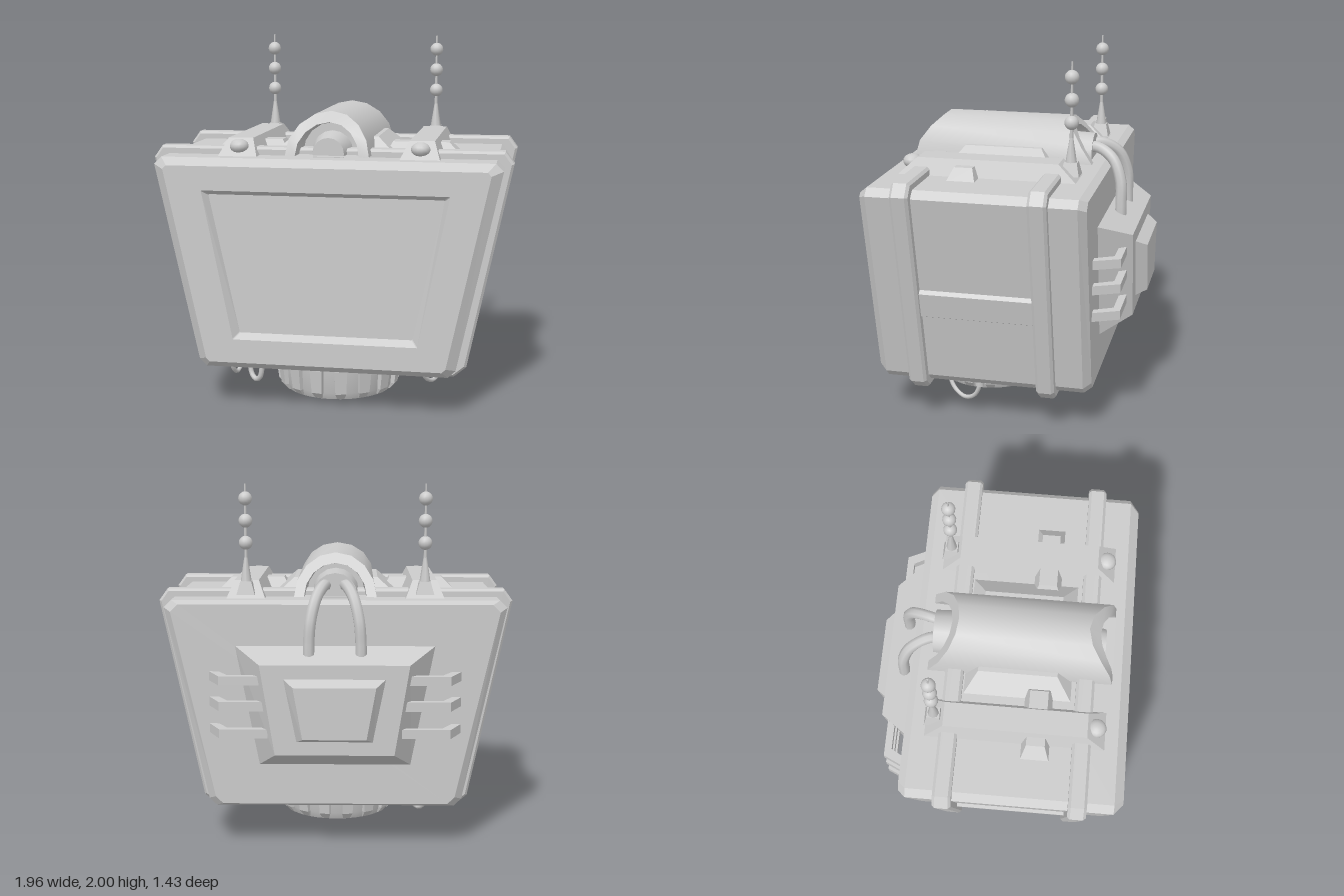
import * as THREE from 'three';
import { toCreasedNormals } from 'three/addons/utils/BufferGeometryUtils.js';

const V = (x, y, z) => new THREE.Vector3(x, y, z);
const material = new THREE.MeshStandardMaterial({ color: 0xcccccc });

// Skin a list of equal-length rings, with both ends capped
function loft(rings) {
  const p = [], n = rings[0].length, last = rings[rings.length - 1];
  const tri = (...c) => c.forEach(v => p.push(...v));
  for (let r = 0; r < rings.length - 1; r++) {
    for (let i = 0; i < n; i++) {
      const j = (i + 1) % n, a = rings[r], b = rings[r + 1];
      tri(a[i], a[j], b[j]);
      tri(a[i], b[j], b[i]);
    }
  }
  for (let i = 1; i < n - 1; i++) {
    tri(rings[0][0], rings[0][i + 1], rings[0][i]);
    tri(last[0], last[i], last[i + 1]);
  }
  const g = new THREE.BufferGeometry();
  g.setAttribute('position', new THREE.Float32BufferAttribute(p, 3));
  g.computeVertexNormals();
  return g;
}

// Trapezoid ring with chamfered corners, facing +z
const outline = (w1, y1, w0, y0, c, z) => [
  [c - w0, y0, z], [w0 - c, y0, z], [w0, y0 + c, z], [w1, y1 - c, z],
  [w1 - c, y1, z], [c - w1, y1, z], [-w1, y1 - c, z], [-w0, y0 + c, z]];

// Four-cornered ring lying flat at height y
const flat = (y, x0, x1, z0, z1) => [[x0, y, z1], [x1, y, z1], [x1, y, z0], [x0, y, z0]];

// Mirror a geometry across x = 0 and restore its winding
function mirrored(geo) {
  const g = geo.index ? geo.toNonIndexed() : geo.clone();
  g.scale(-1, 1, 1);
  for (const name of ['position', 'normal']) {
    const a = g.attributes[name];
    for (let i = 0; i < a.count; i += 3) {
      const t = [a.getX(i + 1), a.getY(i + 1), a.getZ(i + 1)];
      a.setXYZ(i + 1, a.getX(i + 2), a.getY(i + 2), a.getZ(i + 2));
      a.setXYZ(i + 2, ...t);
    }
  }
  return g;
}

export function createModel() {
  const model = new THREE.Group();
  model.name = 'hangingMonitor';
  const add = (name, geo) => {
    const m = new THREE.Mesh(geo, material);
    m.name = name;
    model.add(m);
  };
  const pair = (name, geo) => {
    add(name + 'Left', geo);
    add(name + 'Right', mirrored(geo));
  };
  const tube = (pts, r) => new THREE.TubeGeometry(new THREE.CatmullRomCurve3(pts), 24, r, 8);

  // Tapered casing with bevelled ends and a recessed screen
  add('casing', loft([
    outline(0.89, 1.36, 0.66, 0.25, 0.04, -0.49),
    outline(0.93, 1.38, 0.70, 0.23, 0.04, -0.45),
    outline(0.93, 1.38, 0.70, 0.23, 0.04, 0.66),
    outline(0.87, 1.34, 0.65, 0.27, 0.02, 0.71),
    outline(0.66, 1.21, 0.50, 0.40, 0.004, 0.71),
    outline(0.63, 1.185, 0.47, 0.43, 0.004, 0.67)]));

  // Ribs wrapping the casing, open in the middle of the underside
  const half = [[0.42, 0.25], [0.44, 0.20], [0.675, 0.20], [0.735, 0.25], [0.965, 1.355], [0.925, 1.41]];
  const ribShape = new THREE.Shape([...half, ...half.map(([x, y]) => [-x, y]).reverse()]
    .map(([x, y]) => new THREE.Vector2(x, y)));
  for (const [name, z] of [['frontRib', 0.43], ['rearRib', -0.285]]) {
    const g = new THREE.ExtrudeGeometry(ribShape, {
      depth: 0.07, bevelEnabled: true, bevelSize: 0.013, bevelThickness: 0.015, bevelSegments: 1 });
    g.translate(0, 0, z);
    add(name, g);
  }

  // Raised bands between the ribs on each flank
  const band = (y, out, z) => [0.69 + (y - 0.27) * 0.215 + out, y, z];
  pair('sideBand', loft([-0.21, 0.43].map(z => [
    band(0.64, -0.03, z), band(0.64, 0, z), band(0.655, 0.03, z),
    band(0.79, 0.03, z), band(0.82, 0, z), band(0.82, -0.03, z)])));

  // Roof straps with rivets and side lugs
  pair('strap', loft([flat(1.37, 0.38, 0.60, -0.39, 0.60), flat(1.47, 0.425, 0.56, -0.28, 0.49)]));
  const rivet = new THREE.SphereGeometry(0.052, 14, 8);
  rivet.scale(1, 0.75, 1);
  rivet.translate(0.49, 1.43, 0.54);
  pair('rivet', rivet);
  pair('innerLug', loft([flat(1.37, 0.27, 0.44, 0.14, 0.30), flat(1.44, 0.31, 0.44, 0.17, 0.27)]));
  pair('outerLug', loft([flat(1.37, 0.55, 0.69, 0.14, 0.30), flat(1.44, 0.55, 0.62, 0.17, 0.27)]));

  // Hanging chains
  const rod = (r1, r0, y0, y1, sides) => {
    const g = new THREE.CylinderGeometry(r1, r0, y1 - y0, sides);
    g.translate(0.49, (y0 + y1) / 2, -0.335);
    return g;
  };
  pair('chainMount', loft([flat(1.40, 0.44, 0.54, -0.385, -0.285), flat(1.47, 0.46, 0.52, -0.37, -0.30)]));
  pair('chainSocket', rod(0.01, 0.032, 1.46, 1.60, 8));
  pair('chainRod', rod(0.005, 0.011, 1.50, 2.0, 6));
  for (const y of [1.68, 1.8, 1.92]) {
    const bead = new THREE.SphereGeometry(0.038, 14, 10);
    bead.translate(0.49, y, -0.335);
    pair('chainBead', bead);
  }

  // Roof barrel with slanted, hollow ends
  const arch = (r, zAt) => Array.from({ length: 9 }, (_, i) => {
    const a = i * Math.PI / 8, y = 1.39 + Math.sin(a) * r;
    return [Math.cos(a) * r * 0.98, y, zAt(Math.max(0, (y - 1.39) / 0.23))];
  });
  const front = t => 0.61 - 0.15 * t * t, rear = t => -0.40 + 0.16 * t;
  add('roofBarrel', toCreasedNormals(loft([
    arch(0.165, () => -0.18), arch(0.175, rear), arch(0.23, rear),
    arch(0.23, front), arch(0.175, front), arch(0.165, () => 0.42)]), 0.5));
  add('barrelSkirt', loft([flat(1.37, -0.35, 0.35, -0.20, 0.40), flat(1.47, -0.235, 0.235, -0.12, 0.31)]));
  const plug = (r0, r1, z0, z1) => {
    const g = new THREE.CylinderGeometry(r1, r0, z1 - z0, 16);
    g.rotateX(Math.PI / 2);
    g.translate(0, 1.40, (z0 + z1) / 2);
    return g;
  };
  add('barrelLamp', plug(0.115, 0.085, 0.40, 0.56));
  add('cableSocket', plug(0.12, 0.13, -0.38, -0.15));

  // Twin cables from the barrel to the back unit
  pair('backCable', tube([V(0.04, 1.43, -0.30), V(0.06, 1.455, -0.40), V(0.10, 1.40, -0.50),
    V(0.13, 1.28, -0.55), V(0.14, 1.15, -0.555), V(0.14, 1.02, -0.555)], 0.032));

  // Back unit, built rearwards in two stepped blocks
  const quad = (w1, y1, w0, y0, z) => [[-w0, y0, z], [w0, y0, z], [w1, y1, z], [-w1, y1, z]];
  add('backUnit', loft([quad(0.40, 1.06, 0.32, 0.57, -0.66), quad(0.55, 1.14, 0.42, 0.47, -0.48)]));
  add('backHatch', loft([quad(0.22, 0.95, 0.17, 0.67, -0.72), quad(0.28, 0.99, 0.21, 0.64, -0.65)]));

  // Bent cooling fins beside the back unit
  const finPath = [[0.36, -0.63], [0.62, -0.63], [0.69, -0.48], [0.64, -0.48], [0.58, -0.59], [0.36, -0.59]];
  for (const y of [0.68, 0.83, 0.97]) {
    const g = new THREE.ExtrudeGeometry(
      new THREE.Shape(finPath.map(([x, z]) => new THREE.Vector2(x, -z))), { depth: 0.05, bevelEnabled: false });
    g.rotateX(-Math.PI / 2);
    g.translate(0, y - 0.025, 0);
    pair('coolingFin', g);
  }

  // Fluted nozzle underneath with a concave mouth
  const nozzle = new THREE.LatheGeometry([[0.001, 0.13], [0.10, 0.125], [0.22, 0.08], [0.29, 0.03],
    [0.305, 0.03], [0.325, 0.07], [0.34, 0.24]].map(([x, y]) => new THREE.Vector2(x, y)), 32);
  nozzle.translate(0, 0, 0.225);
  add('nozzle', toCreasedNormals(nozzle, 0.5));
  for (let i = 0; i < 16; i++) {
    const g = loft([flat(0.035, -0.02, 0.02, 0.27, 0.315), flat(0.07, -0.03, 0.03, 0.27, 0.345),
      flat(0.20, -0.035, 0.035, 0.27, 0.362), flat(0.24, -0.035, 0.035, 0.27, 0.362)]);
    g.rotateY((i + 0.5) * Math.PI / 8);
    g.translate(0, 0, 0.225);
    add('nozzleFlute', g);
  }

  // Slack wire loops hanging below
  const wire = (a, b, low, r) => {
    const at = (t, y) => V(a[0] + (b[0] - a[0]) * t, y, a[1] + (b[1] - a[1]) * t);
    add('wireLoop', tube([at(0, 0.24), at(0.03, 0.17), at(0.2, low + 0.04), at(0.5, low + r),
      at(0.8, low + 0.04), at(0.97, 0.17), at(1, 0.24)], r));
    for (const [x, z] of [a, b]) {
      const g = new THREE.CylinderGeometry(0.025, 0.025, 0.05, 8);
      g.translate(x, 0.21, z);
      add('wireSocket', g);
    }
  };
  wire([0.60, 0.15], [0.49, 0.36], 0.07, 0.012);
  wire([-0.55, 0.17], [-0.445, 0.25], 0.0, 0.015);
  wire([-0.58, 0.17], [-0.615, 0.33], 0.06, 0.012);

  return model;
}
